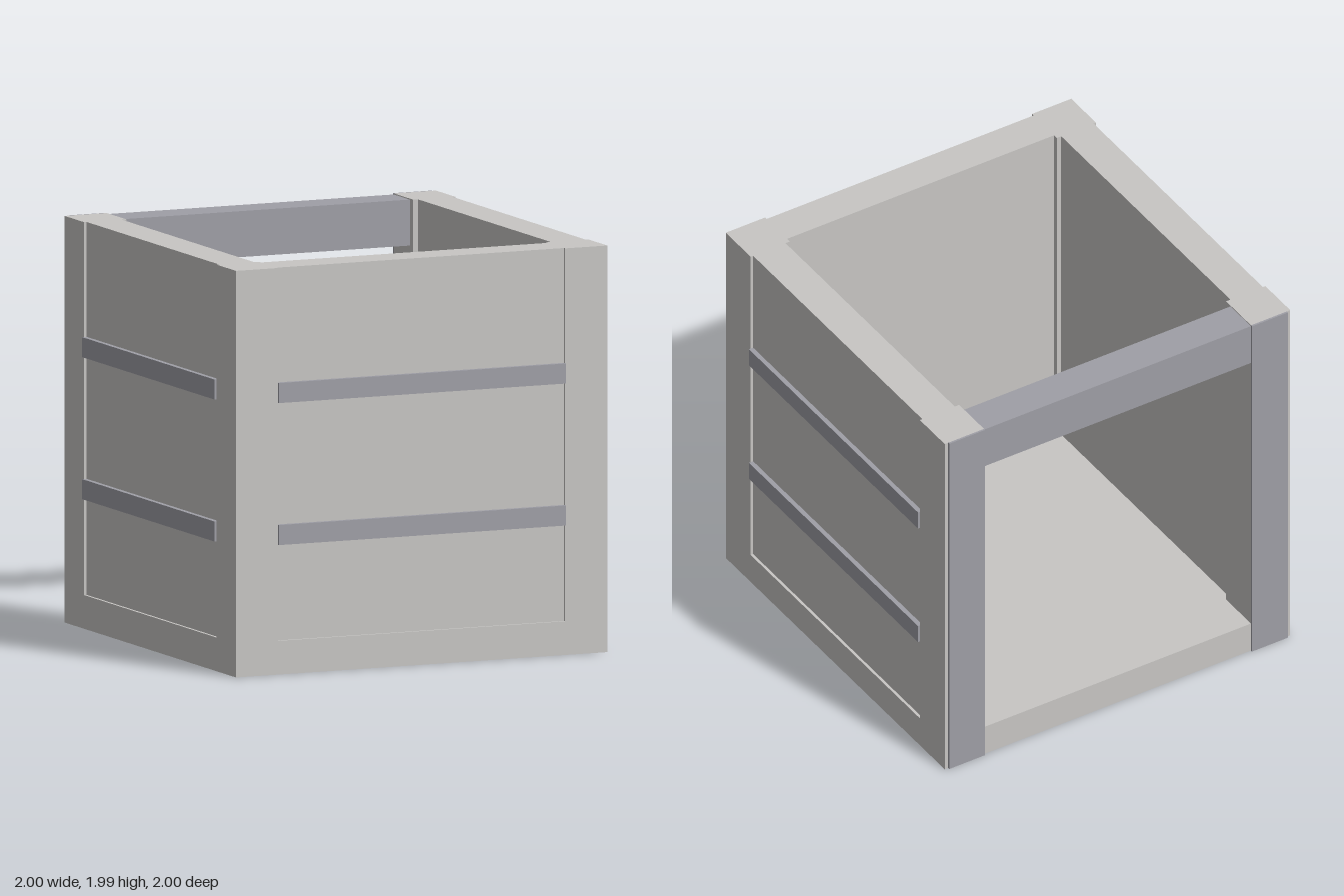
import * as THREE from 'three';

const paint = new THREE.MeshStandardMaterial({ color: 0xc8c6c4 });
paint.name = 'light grey';
const steel = new THREE.MeshStandardMaterial({ color: 0x9f9fa6 });
steel.name = 'blue grey';

const TOP = 1.99, FLOOR = 0.165, EDGE = 0.99, POST = 0.765;

// Box given by its two opposite corners
function block(parent, name, material, [x0, y0, z0], [x1, y1, z1]) {
  const mesh = new THREE.Mesh(new THREE.BoxGeometry(x1 - x0, y1 - y0, z1 - z0), material);
  mesh.position.set((x0 + x1) / 2, (y0 + y1) / 2, (z0 + z1) / 2);
  mesh.name = name;
  parent.add(mesh);
  return mesh;
}

// Recessed wall panel with two raised rails, facing +z
function createWall(name) {
  const wall = new THREE.Group();
  wall.name = name;
  block(wall, 'panel', paint, [-POST, FLOOR, 0.79], [POST, TOP, 0.976]);
  for (const y of [0.635, 1.33]) {
    block(wall, 'rail', steel, [-POST, y, 0.976], [POST, y + 0.098, 1]);
  }
  return wall;
}

export function createModel() {
  const model = new THREE.Group();
  model.name = 'openCrate';

  // Floor slab
  block(model, 'base', paint, [-EDGE, 0, -EDGE], [EDGE, FLOOR, EDGE]);

  // Corner posts
  for (const x of [-1, 1]) {
    for (const z of [-1, 1]) {
      const size = EDGE - POST, mid = (EDGE + POST) / 2;
      const post = block(model, 'cornerPost', paint, [-size / 2, FLOOR, -size / 2], [size / 2, TOP, size / 2]);
      post.position.x = x * mid;
      post.position.z = z * mid;
    }
    // Facing strip on the back of each rear post
    const strip = block(model, 'rearPostStrip', steel, [-0.1025, 0, -1], [0.1025, TOP, -EDGE]);
    strip.position.x = x * 0.8675;
  }

  // Three walls: front, left and right; the back stays open
  [['frontWall', 0], ['leftWall', Math.PI / 2], ['rightWall', -Math.PI / 2]].forEach(([name, angle]) => {
    const wall = createWall(name);
    wall.rotation.y = angle;
    model.add(wall);
  });

  // Beam across the top of the open back
  block(model, 'rearBeam', steel, [-POST, 1.76, -EDGE], [POST, 1.985, -0.805]);

  return model;
}
